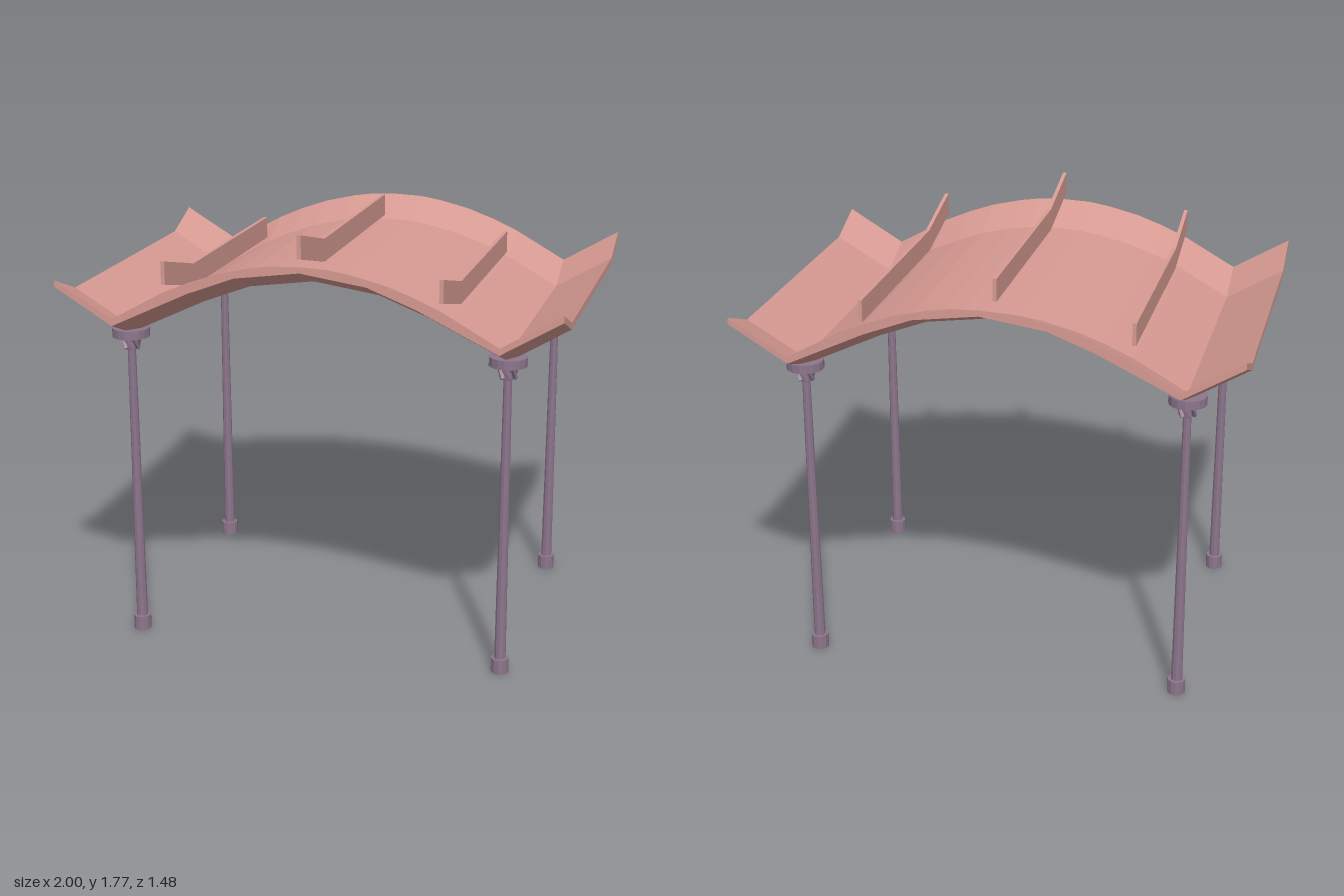
import * as THREE from 'three';

const roofPaint = new THREE.MeshStandardMaterial({ name: 'salmon roof', color: 0xd69a92 });
const postPaint = new THREE.MeshStandardMaterial({ name: 'mauve post', color: 0x8c768c });
roofPaint.flatShading = postPaint.flatShading = true;

const POST_X = 0.765, POST_Z = 0.55, EDGE_Z = 0.74, LIFT = 0.075;

// Mirrors a half profile (x from 0 outward) into a full left-to-right list
const mirrored = half => [
  ...half.slice(1).reverse().map(([x, y]) => new THREE.Vector2(-x, y)),
  ...half.map(([x, y]) => new THREE.Vector2(x, y)),
];

// Arched sheet with upswept side wings, whose front and back rims curl up
function createRoof() {
  const top = mirrored([[0, 1.574], [0.11, 1.57], [0.2, 1.556], [0.33, 1.525],
    [0.44, 1.486], [0.55, 1.438], [POST_X, 1.318], [1, 1.458]]);
  const bottom = mirrored([[0, 1.55], [0.26, 1.513], [0.45, 1.44], [POST_X, 1.29], [1, 1.432]]);
  const shape = new THREE.Shape([...bottom, ...top.reverse()]);
  const geometry = new THREE.ExtrudeGeometry(shape, { depth: 3, steps: 3, bevelEnabled: false });
  const stations = [-EDGE_Z, -POST_Z, POST_Z, EDGE_Z];
  const p = geometry.attributes.position;
  for (let i = 0; i < p.count; i++) {
    const k = Math.round(p.getZ(i));
    p.setZ(i, stations[k]);
    if (k === 0 || k === 3) p.setY(i, p.getY(i) + LIFT);
  }
  geometry.computeVertexNormals();
  const roof = new THREE.Mesh(geometry, roofPaint);
  roof.name = 'roof';
  return roof;
}

// Thin fin running front to back, bent upward at its front end
function createFin(x, y) {
  const h = 0.091, rise = 0.078, w = 0.016;
  const shape = new THREE.Shape([
    [-0.5, y], [0.43, y], [EDGE_Z, y + rise],
    [EDGE_Z, y + rise + h], [0.43, y + h], [-0.5, y + h],
  ].map(([z, v]) => new THREE.Vector2(z, v)));
  const geometry = new THREE.ExtrudeGeometry(shape, { depth: w, bevelEnabled: false });
  geometry.translate(0, 0, -w / 2).rotateY(-Math.PI / 2);
  const fin = new THREE.Mesh(geometry, roofPaint);
  fin.name = 'roofFin';
  fin.position.x = x;
  return fin;
}

// Post: foot, tapered shaft, twisted collar and a flat bearing plate
function createPost(x, z) {
  const post = new THREE.Group();
  post.name = 'post';
  const add = (name, rTop, rBottom, y0, y1, sides) => {
    const mesh = new THREE.Mesh(new THREE.CylinderGeometry(rTop, rBottom, y1 - y0, sides), postPaint);
    mesh.name = name;
    mesh.position.y = (y0 + y1) / 2;
    post.add(mesh);
    return mesh;
  };
  add('foot', 0.036, 0.036, 0, 0.06, 12);
  add('shaft', 0.016, 0.023, 0.06, 1.28, 10);
  add('collar', 0.03, 0.022, 1.22, 1.28, 8);
  add('bearingPlate', 0.075, 0.075, 1.276, 1.312, 16);
  // Slanted ribs wrapped around the collar
  for (let i = 0; i < 6; i++) {
    const a = i * Math.PI / 3;
    const rib = new THREE.Mesh(new THREE.BoxGeometry(0.012, 0.055, 0.014), postPaint);
    rib.name = 'collarRib';
    rib.position.set(Math.sin(a) * 0.029, 1.25, Math.cos(a) * 0.029);
    rib.rotation.set(0.15, a, 0.55, 'YXZ');
    post.add(rib);
  }
  post.position.set(x, 0, z);
  return post;
}

export function createModel() {
  const model = new THREE.Group();
  model.name = 'canopy';
  model.add(createRoof());
  model.add(createFin(0, 1.601), createFin(-0.545, 1.468), createFin(0.545, 1.468));
  for (const x of [-POST_X, POST_X]) {
    for (const z of [-POST_Z, POST_Z]) model.add(createPost(x, z));
  }
  return model;
}
